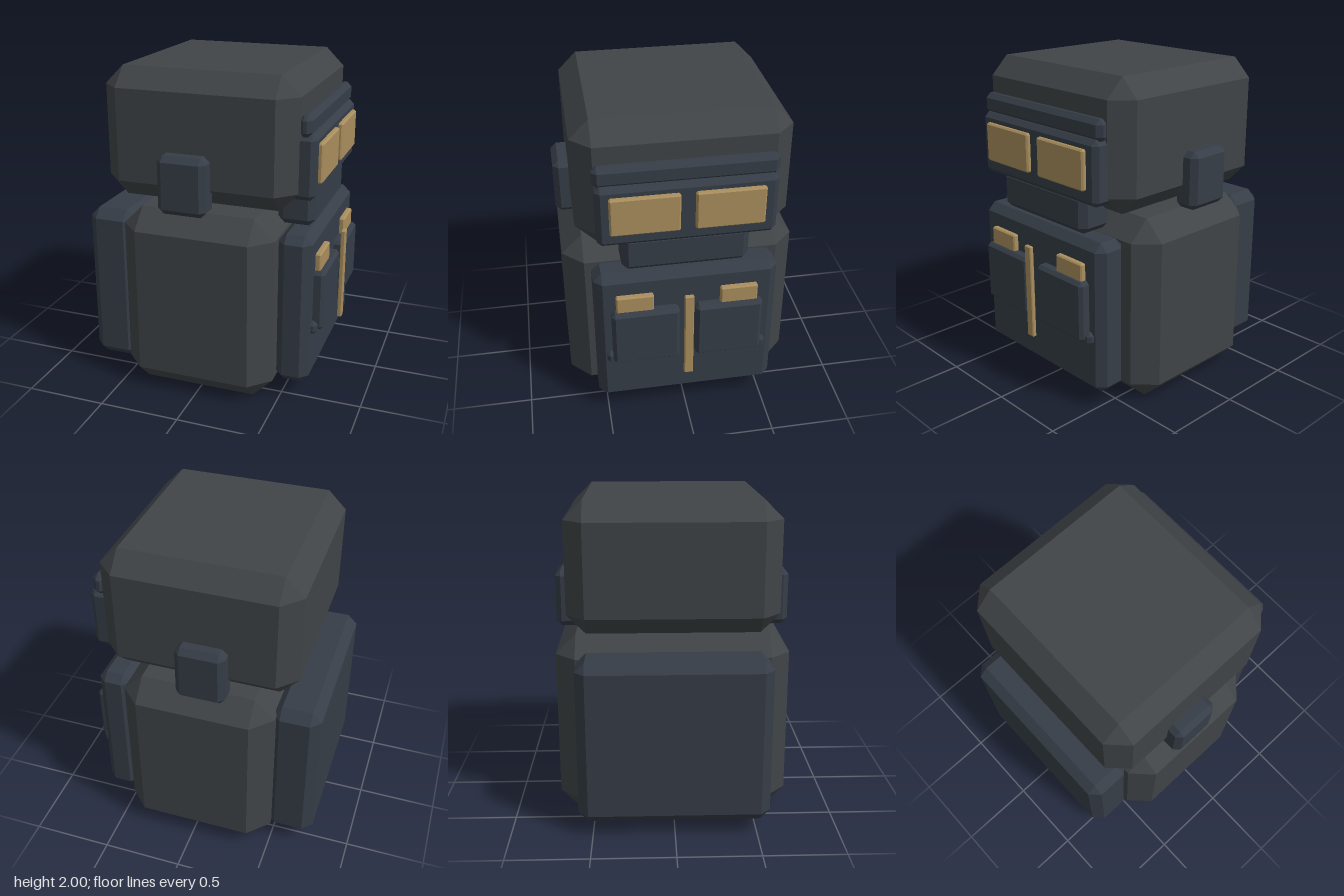
import * as THREE from 'three';
import { ConvexGeometry } from 'three/addons/geometries/ConvexGeometry.js';

const mat = (color) => new THREE.MeshStandardMaterial({ color, flatShading: true });

// Box between two corners with every edge and corner cut off by c
function chamferBox([x0, y0, z0], [x1, y1, z1], c) {
  const mid = [(x0 + x1) / 2, (y0 + y1) / 2, (z0 + z1) / 2];
  const half = [(x1 - x0) / 2, (y1 - y0) / 2, (z1 - z0) / 2];
  const points = [];
  for (const sx of [-1, 1]) for (const sy of [-1, 1]) for (const sz of [-1, 1]) {
    for (let axis = 0; axis < 3; axis++) {
      // each corner becomes three points, one on each of its faces
      const p = [sx, sy, sz].map((s, i) => s * (half[i] - (i === axis ? 0 : c)));
      points.push(new THREE.Vector3(...p));
    }
  }
  const geometry = new ConvexGeometry(points);
  geometry.translate(...mid);
  return geometry;
}

export function createModel() {
  const model = new THREE.Group();
  model.name = 'blockyRobot';
  const shell = mat(0x404447);
  const trim = mat(0x363d47);
  const gold = mat(0xa98e5d);
  const cloth = mat(0x754c43);

  const add = (name, min, max, c, material) => {
    const mesh = new THREE.Mesh(chamferBox(min, max, c), material);
    mesh.name = name;
    model.add(mesh);
    return mesh;
  };
  // The same box on both sides of the z = 0 plane
  const addPair = (name, min, max, c, material) => {
    add(name + 'Left', [min[0], min[1], -max[2]], [max[0], max[1], -min[2]], c, material);
    add(name + 'Right', min, max, c, material);
  };

  // Main masses
  add('body', [-0.495, 0, -0.722], [0.465, 1.17, 0.718], 0.125, shell);
  add('head', [-0.615, 1.21, -0.638], [0.58, 2, 0.632], 0.115, shell);
  add('backpack', [-0.765, 0.08, -0.585], [-0.46, 1.097, 0.58], 0.06, trim);
  add('chestPlate', [0.46, 0.105, -0.56], [0.67, 1.07, 0.555], 0.05, trim);

  // Scarf around the neck, dipping towards the face side
  const scarf = new THREE.Mesh(new THREE.TorusGeometry(0.3, 0.1, 6, 12), cloth);
  scarf.name = 'scarf';
  scarf.geometry.rotateX(Math.PI / 2);
  scarf.geometry.scale(1.05, 1, 0.9);
  scarf.geometry.rotateZ(-0.15);
  scarf.position.set(0.04, 1.21, 0);
  model.add(scarf);

  // Face
  add('visor', [0.52, 1.285, -0.525], [0.67, 1.67, 0.52], 0.03, trim);
  add('brow', [0.565, 1.655, -0.532], [0.645, 1.785, 0.53], 0.03, trim);
  add('chin', [0.41, 1.075, -0.38], [0.64, 1.32, 0.38], 0.04, trim);
  addPair('eye', [0.65, 1.375, 0.043], [0.697, 1.615, 0.447], 0.01, gold);
  addPair('ear', [-0.22, 1.175, 0.565], [0.083, 1.53, 0.727], 0.035, trim);

  // Chest details
  addPair('pocket', [0.64, 0.45, 0.05], [0.735, 0.83, 0.46], 0.02, trim);
  addPair('pocketTab', [0.65, 0.8, 0.203], [0.703, 0.935, 0.43], 0.008, gold);
  addPair('buckle', [0.64, 0.432, 0.43], [0.705, 0.51, 0.497], 0.02, trim);
  add('zip', [0.73, 0.335, -0.03], [0.758, 0.94, 0.026], 0.005, gold);

  return model;
}
